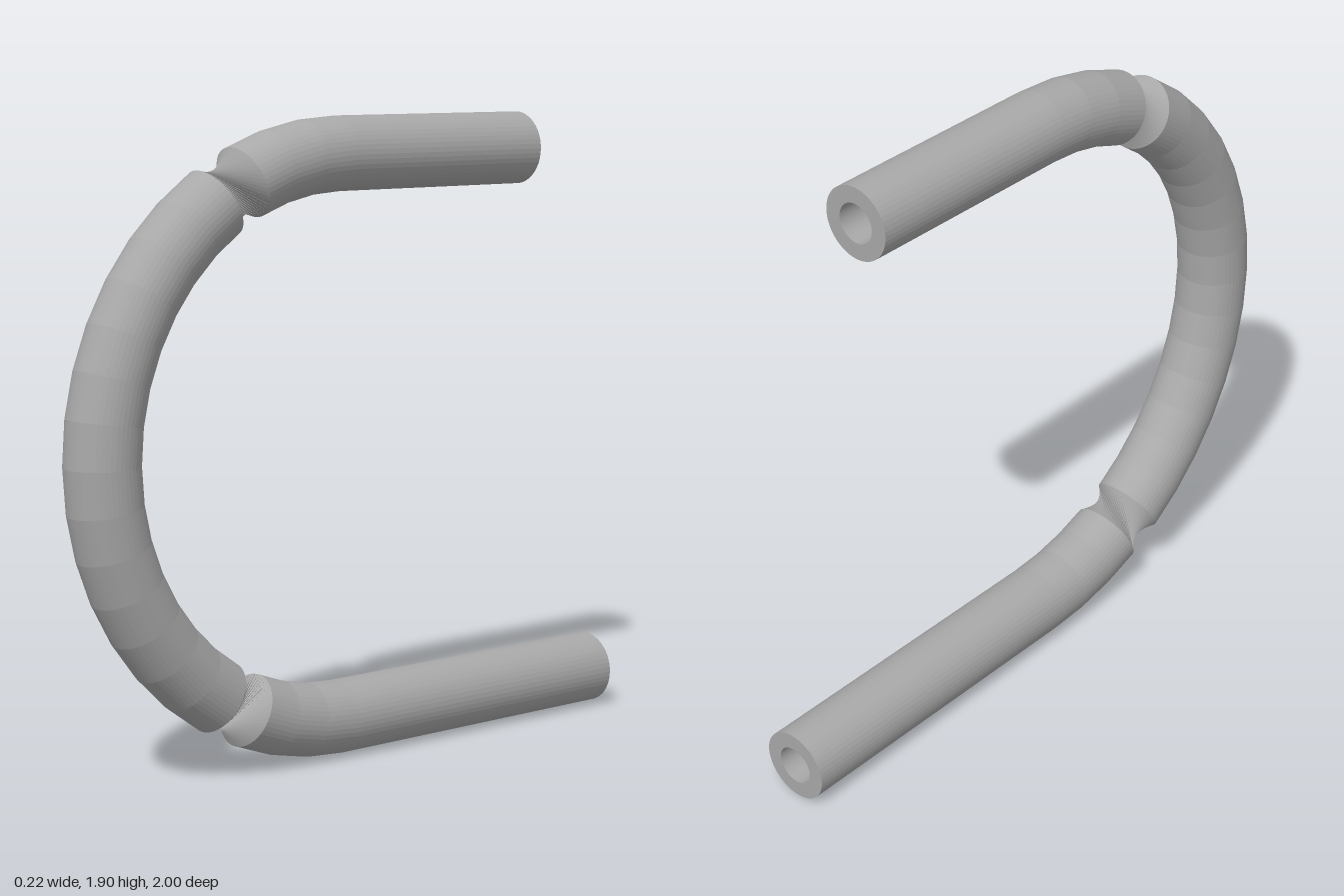
import * as THREE from 'three';

const SIDES = 48, OUTER = 0.11, BORE = 0.06;
const BEND_R = 0.84, CZ = 0.05, CY = 0.95;
const rad = THREE.MathUtils.degToRad;

// A station on the pipe: angle around the bend (0 = bottom, 180 = top),
// ring twist in degrees, and z when it lies on a straight run.
const station = (deg, twist = 0, z = null) => ({ a: rad(deg), twist: rad(twist), z });

function arc(from, to, steps, twist) {
  return Array.from({ length: steps + 1 }, (_, i) => station(from + (to - from) * i / steps, twist));
}

// Ring of points round a station
function ring({ a, twist, z }, r) {
  const cz = z === null ? CZ + BEND_R * Math.sin(a) : z;
  const cy = CY - BEND_R * Math.cos(a);
  return Array.from({ length: SIDES }, (_, j) => {
    const p = j / SIDES * Math.PI * 2 + twist;
    const out = r * Math.sin(p);
    return [r * Math.cos(p), cy - out * Math.cos(a), cz + out * Math.sin(a)];
  });
}

// Skin a list of rings
function skin(rows) {
  const index = [];
  for (let i = 0; i < rows.length - 1; i++) {
    for (let j = 0; j < SIDES; j++) {
      const k = (j + 1) % SIDES;
      const a = i * SIDES + j, b = a + SIDES, c = i * SIDES + k, d = c + SIDES;
      index.push(a, b, c, b, d, c);
    }
  }
  const g = new THREE.BufferGeometry();
  g.setAttribute('position', new THREE.Float32BufferAttribute(rows.flat(2), 3));
  g.setIndex(index);
  g.computeVertexNormals();
  return g;
}

export function createModel() {
  const group = new THREE.Group();
  const metal = new THREE.MeshStandardMaterial({ color: 0xa8a8a8, flatShading: true });
  metal.name = 'grey metal';

  const add = (name, rows) => {
    const mesh = new THREE.Mesh(skin(rows), metal);
    mesh.name = name;
    group.add(mesh);
  };
  // Outer wall and bore of one pipe section
  const pipe = (name, stations) => {
    add(name, stations.map(s => ring(s, OUTER)));
    add(name + 'Bore', [...stations].reverse().map(s => ring(s, BORE)));
  };

  const lowerArm = [station(0, -90, -1), ...arc(0, 24, 3, -90)];
  const hookBend = arc(32, 148, 14, 0);
  const upperArm = [...arc(156, 180, 3, -90), station(180, -90, -0.67)];

  pipe('lowerArm', lowerArm);
  pipe('hookBend', hookBend);
  pipe('upperArm', upperArm);

  // Quarter-turn twists pinch the pipe into necks
  pipe('lowerNeck', [lowerArm.at(-1), hookBend[0]]);
  pipe('upperNeck', [hookBend.at(-1), upperArm[0]]);

  // Annular pipe ends
  add('lowerEnd', [ring(lowerArm[0], BORE), ring(lowerArm[0], OUTER)]);
  add('upperEnd', [ring(upperArm.at(-1), OUTER), ring(upperArm.at(-1), BORE)]);

  return group;
}
